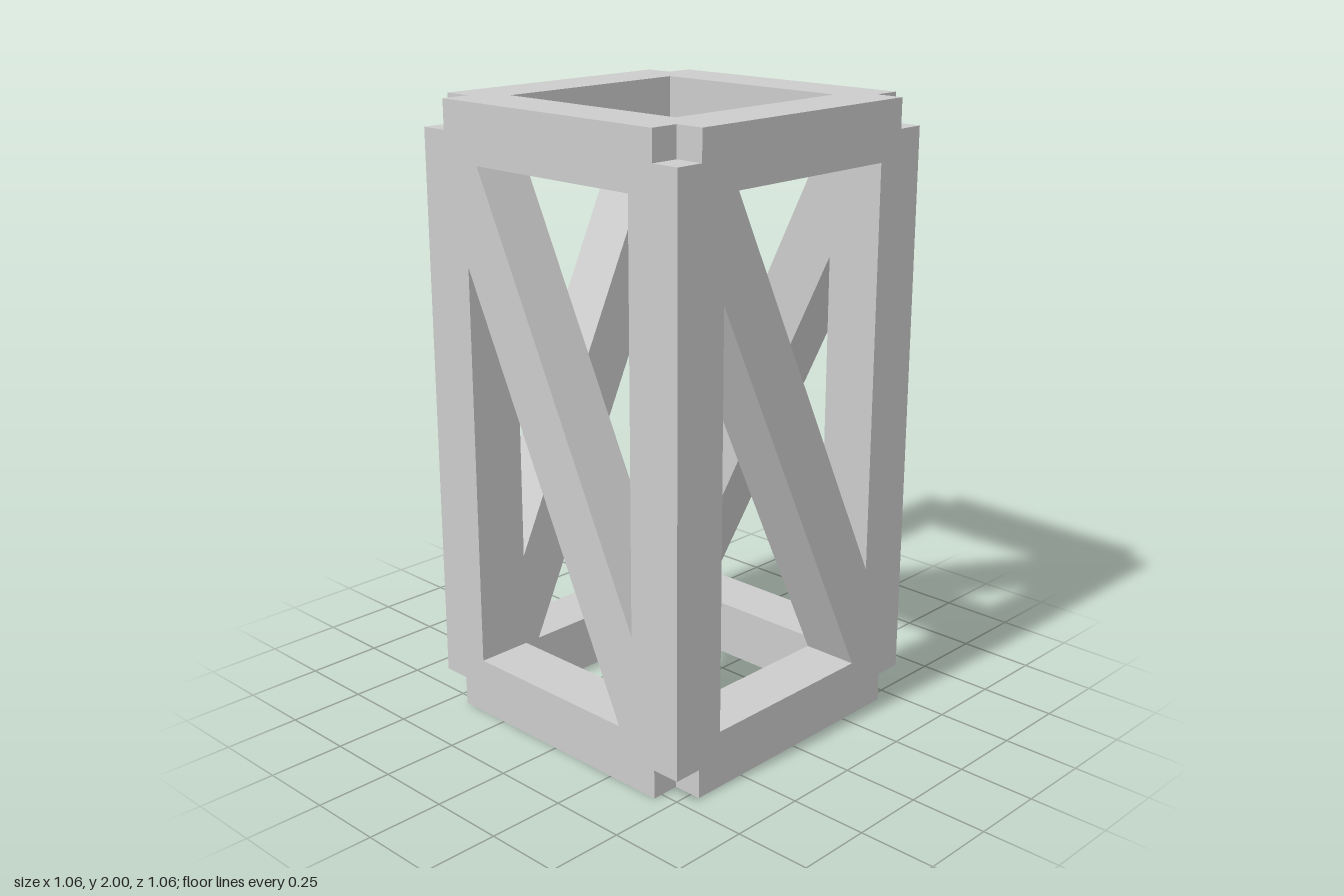
import * as THREE from 'three';

const H = 0.532;        // half width of the tower
const R = 0.346;        // half width of the openings
const T = H - R;        // member thickness
const N = 0.094;        // size of the corner notches
const HEIGHT = 2;

const material = new THREE.MeshStandardMaterial({ color: 0xcccccc, flatShading: true });

function extrude(points, depth) {
  const shape = new THREE.Shape(points.map(([x, y]) => new THREE.Vector2(x, y)));
  return new THREE.ExtrudeGeometry(shape, { depth, bevelEnabled: false });
}

// Top rail, diagonal brace and bottom rail as one outline
function panelGeometry() {
  const low = T, high = HEIGHT - T;
  const geometry = extrude([
    [-R, 0], [R, 0], [R, 0.5], [-0.29, high], [R, high],
    [R, HEIGHT], [-R, HEIGHT], [-R, HEIGHT - 0.5], [0.29, low], [-R, low],
  ], T);
  return geometry.translate(0, 0, R);
}

// Square shaft of a corner post, between its notched ends
function shaftGeometry() {
  const c = (H + R) / 2;
  return new THREE.BoxGeometry(T, HEIGHT - 2 * N, T).translate(c, HEIGHT / 2, c);
}

// L-shaped post end that leaves the outer corner cut away
function endGeometry(y) {
  const k = H - N;
  const geometry = extrude([[R, -R], [R, -H], [k, -H], [k, -k], [H, -k], [H, -R]], N);
  return geometry.rotateX(-Math.PI / 2).translate(0, y, 0);
}

export function createModel() {
  const model = new THREE.Group();
  model.name = 'bracedTowerSection';

  const parts = {
    bracedPanel: panelGeometry(),
    cornerPost: shaftGeometry(),
    postFoot: endGeometry(0),
    postHead: endGeometry(HEIGHT - N),
  };

  // The four sides are quarter turns of the same panel and post
  ['front', 'left', 'back', 'right'].forEach((side, i) => {
    const group = new THREE.Group();
    group.name = side + 'Side';
    group.rotation.y = i * Math.PI / 2;
    for (const [name, geometry] of Object.entries(parts)) {
      const mesh = new THREE.Mesh(geometry, material);
      mesh.name = name;
      group.add(mesh);
    }
    model.add(group);
  });
  return model;
}
